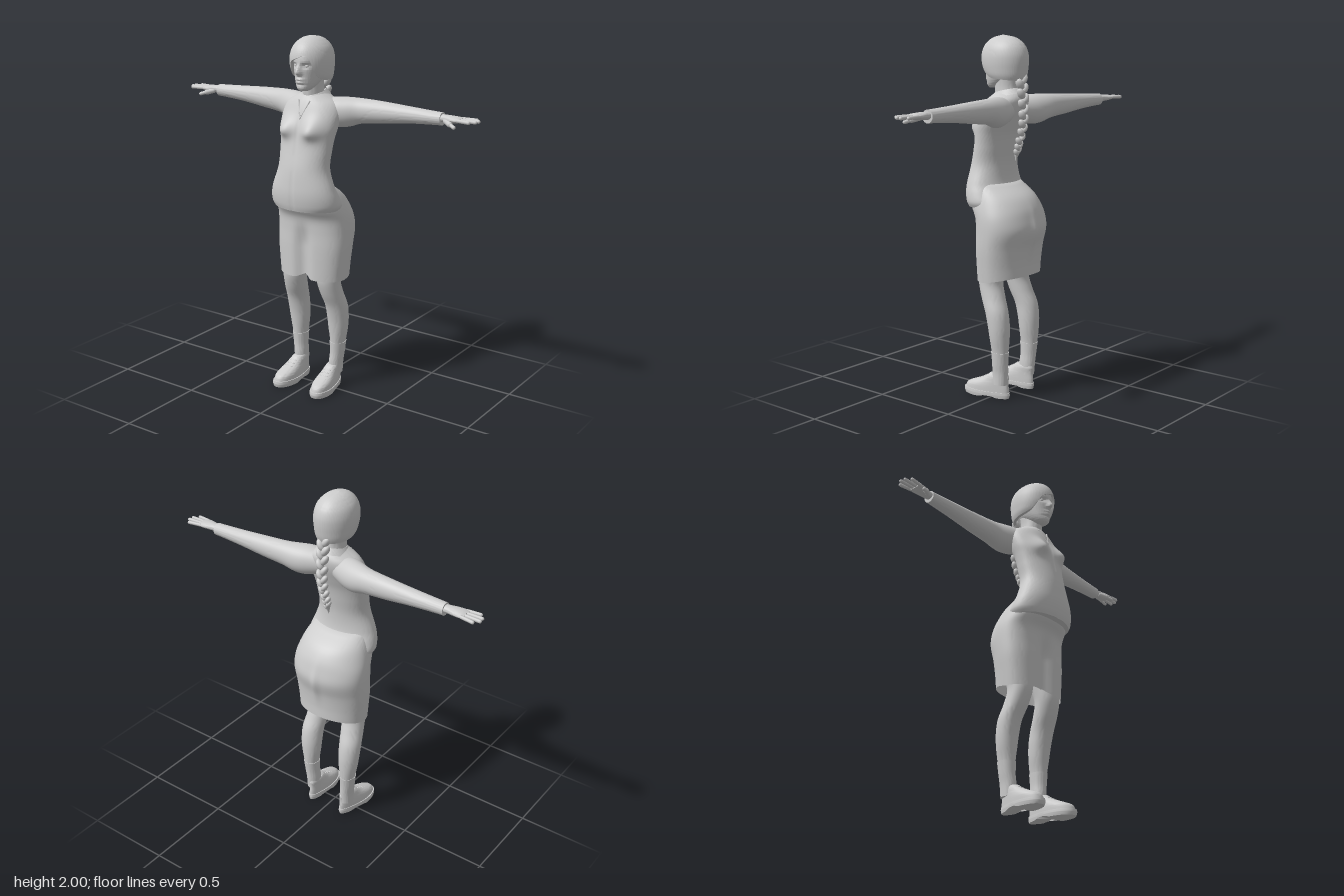
import * as THREE from 'three';
import { toCreasedNormals } from 'three/addons/utils/BufferGeometryUtils.js';

const V = (x, y, z) => new THREE.Vector3(x, y, z);
const bump = (d, w) => Math.exp(-(d * d) / (w * w));
const step = THREE.MathUtils.smoothstep;

// Smooth lookup in rows whose first column ascends
function sample(rows, t) {
  let i = 0;
  while (i < rows.length - 2 && t > rows[i + 1][0]) i++;
  const at = (k) => rows[Math.min(Math.max(k, 0), rows.length - 1)];
  const a = at(i), b = at(i + 1), h = b[0] - a[0];
  const s = THREE.MathUtils.clamp((t - a[0]) / h, 0, 1), s2 = s * s, s3 = s2 * s;
  const slope = (k, c) => (at(k + 1)[c] - at(k - 1)[c]) / (at(k + 1)[0] - at(k - 1)[0]);
  return a.map((_, c) => c === 0 ? t :
    (2 * s3 - 3 * s2 + 1) * a[c] + (s3 - 2 * s2 + s) * h * slope(i, c) +
    (3 * s2 - 2 * s3) * b[c] + (s3 - s2) * h * slope(i + 1, c));
}

// Skin of closed rings; point(v, angle) with v from 0 to 1, turned to face outward
function skin(rings, seg, point, caps = [true, true]) {
  const pos = [], idx = [];
  for (let i = 0; i <= rings; i++)
    for (let j = 0; j < seg; j++) pos.push(...point(i / rings, (j / seg) * Math.PI * 2).toArray());
  for (let i = 0; i < rings; i++)
    for (let j = 0; j < seg; j++) {
      const a = i * seg + j, b = i * seg + (j + 1) % seg;
      idx.push(a, a + seg, b, b, a + seg, b + seg);
    }
  [0, rings].forEach((r, e) => {
    if (!caps[e]) return;
    const mid = V(0, 0, 0), n = pos.length / 3;
    for (let j = 0; j < seg; j++) mid.add(V(0, 0, 0).fromArray(pos, (r * seg + j) * 3));
    pos.push(...mid.divideScalar(seg).toArray());
    for (let j = 0; j < seg; j++) {
      const a = r * seg + j, b = r * seg + (j + 1) % seg;
      e ? idx.push(a, n, b) : idx.push(a, b, n);
    }
  });
  let vol = 0;
  const p = (k) => V(0, 0, 0).fromArray(pos, idx[k] * 3);
  for (let k = 0; k < idx.length; k += 3) vol += p(k).dot(p(k + 1).cross(p(k + 2)));
  if (vol < 0) idx.reverse();
  const g = new THREE.BufferGeometry();
  g.setAttribute('position', new THREE.Float32BufferAttribute(pos, 3));
  g.setIndex(idx);
  return toCreasedNormals(g, 0.95);
}

// Loft of rows [t, centre u, half width, front v, back v]
function loft(rows, map = V, { sub = 5, seg = 40, power = 2, caps } = {}) {
  const t0 = rows[0][0], t1 = rows[rows.length - 1][0];
  const sp = (c, k) => Math.sign(c) * Math.abs(c) ** (2 / k);
  return skin((rows.length - 1) * sub, seg, (v, a) => {
    const [t, cu, hw, f, b] = sample(rows, t0 + (t1 - t0) * v);
    const k = Math.sin(a) > 0 ? power : 2;
    return map(cu + hw * sp(Math.cos(a), k), t, (f + b) / 2 + (f - b) / 2 * sp(Math.sin(a), k));
  }, caps);
}

export function createModel() {
  const model = new THREE.Group();
  const grey = new THREE.MeshStandardMaterial({ color: 0xcccccc, side: THREE.DoubleSide });
  grey.name = 'light grey';
  const add = (name, geo) => {
    const m = new THREE.Mesh(geo, grey);
    m.name = name;
    model.add(m);
    return m;
  };
  const rod = (name, a, b, r) => {
    const m = add(name, new THREE.CapsuleGeometry(r, a.distanceTo(b), 4, 10));
    m.position.copy(a).lerp(b, 0.5);
    m.quaternion.setFromUnitVectors(V(0, 1, 0), b.clone().sub(a).normalize());
  };

  // Shirt body with bust and a shallow button line
  add('shirt', loft([
    [1.075, 0, 0.198, 0.195, -0.08], [1.1, 0, 0.211, 0.202, -0.08], [1.15, 0, 0.204, 0.208, -0.05],
    [1.2, 0, 0.187, 0.207, -0.025], [1.3, 0, 0.153, 0.195, -0.02], [1.4, 0, 0.155, 0.172, -0.035],
    [1.47, 0, 0.163, 0.156, -0.05], [1.53, 0, 0.173, 0.142, -0.072], [1.6, 0, 0.172, 0.116, -0.098],
    [1.65, 0, 0.145, 0.094, -0.105], [1.68, 0, 0.09, 0.075, -0.095], [1.7, 0, 0.055, 0.05, -0.075],
  ], (x, y, z) => {
    if (z > 0.05) {
      z += 0.042 * bump(Math.abs(x) - 0.085, 0.05) * bump(y - 1.505, y < 1.505 ? 0.04 : 0.06);
      z -= 0.004 * bump(x, 0.008) * step(1.62 - y, 0, 0.05);
    }
    return V(x, y, z);
  }, { seg: 96 }));

  // Skirt with a valley between the thighs and a seam at the back
  add('skirt', loft([
    [0.665, 0, 0.205, 0.112, -0.163], [0.75, 0, 0.213, 0.113, -0.165], [0.85, 0, 0.222, 0.114, -0.175],
    [0.95, 0, 0.225, 0.114, -0.2], [1.02, 0, 0.221, 0.122, -0.19], [1.08, 0, 0.208, 0.158, -0.17],
    [1.14, 0, 0.188, 0.17, -0.125], [1.2, 0, 0.16, 0.15, -0.03],
  ], (x, y, z) => {
    const hem = 1 - step(y, 0.665, 0.85);
    if (z > 0) z -= 0.035 * bump(x, 0.04) * (1 - step(y, 0.85, 1.02));
    else z -= 0.012 * bump(x, 0.022) * bump(y - 0.93, 0.1);
    return V(x, y + hem * (z > 0 ? 0.022 * bump(x, 0.03) : 0.2 * -z), z);
  }, { seg: 96, power: 2.6, caps: [false, true] }));

  // Neck
  add('neck', loft([[1.6, 0, 0.06, 0.06, -0.07], [1.68, 0, 0.055, 0.068, -0.068],
    [1.73, 0, 0.052, 0.072, -0.062], [1.8, 0, 0.055, 0.07, -0.07]]));

  // Face with nose, lips, brows and eye sockets
  add('face', loft([
    [1.715, 0, 0.024, 0.116, 0.05], [1.727, 0, 0.04, 0.126, 0.02], [1.75, 0, 0.056, 0.129, -0.02],
    [1.78, 0, 0.068, 0.131, -0.06], [1.82, 0, 0.077, 0.134, -0.08], [1.86, 0, 0.082, 0.137, -0.09],
    [1.9, 0, 0.083, 0.136, -0.09], [1.94, 0, 0.07, 0.11, -0.07], [1.97, 0, 0.04, 0.07, -0.03],
  ], (x, y, z) => {
    if (z > 0.06) {
      z += 0.027 * bump(x, 0.013) * bump(y - 1.815, y > 1.815 ? 0.034 : 0.012);
      z += 0.007 * bump(Math.abs(x) - 0.012, 0.008) * bump(y - 1.811, 0.01);
      z += 0.009 * bump(x, 0.024) * (bump(y - 1.778, 0.006) + bump(y - 1.763, 0.006));
      z -= 0.005 * bump(x, 0.03) * bump(y - 1.749, 0.007);
      z -= 0.013 * bump(Math.abs(x) - 0.034, 0.019) * bump(y - 1.85, 0.012);
      z += 0.004 * bump(Math.abs(x) - 0.035, 0.024) * bump(y - 1.873, 0.009);
    }
    return V(x, y, z);
  }, { seg: 120, sub: 9 }));

  // Swept hair: rows [y, half width, front, back], edge height by angle from the front
  const hairForm = [[1.74, 0.075, 0.06, -0.1], [1.78, 0.1, 0.115, -0.116], [1.82, 0.108, 0.14, -0.123],
    [1.86, 0.111, 0.15, -0.127], [1.9, 0.108, 0.15, -0.125], [1.94, 0.095, 0.136, -0.11],
    [1.97, 0.071, 0.11, -0.082], [1.99, 0.042, 0.073, -0.042], [2, 0.006, 0.03, 0.018]];
  const hairEdge = [[-3.142, 1.755], [-1.6, 1.768], [-1, 1.785], [-0.78, 1.815], [-0.5, 1.865], [0, 1.893],
    [0.4, 1.907], [0.62, 1.88], [0.82, 1.81], [1.1, 1.777], [1.6, 1.768], [3.142, 1.755]];
  add('hair', skin(32, 120, (v, a) => {
    const d = a - Math.PI, edge = sample(hairEdge, d)[1];
    const s = Math.max(0, (v * 32 - 1) / 31), y = edge + (2 - edge) * Math.sin(s * Math.PI / 2);
    const [, w, f, b] = sample(hairForm, y), k = v === 0 ? 0.82 : 1;
    return V(w * k * Math.sin(d), y, (f + b) / 2 + (f - b) / 2 * k * Math.cos(d));
  }, [false, true]));

  // Plaited braid of paired tapering lobes
  const braid = new THREE.CatmullRomCurve3([V(0, 1.765, -0.1), V(0, 1.68, -0.112), V(0, 1.58, -0.118),
    V(0, 1.5, -0.112), V(0, 1.42, -0.088), V(0, 1.37, -0.074)]);
  for (let i = 0; i < 18; i++) {
    const t = i / 17, side = i % 2 ? 1 : -1, k = 1 - 0.4 * t;
    const lobe = add('braidLobe', new THREE.SphereGeometry(1, 16, 12));
    lobe.scale.set(0.02 * k, 0.035 * k, 0.025 * k);
    lobe.position.copy(braid.getPoint(t)).add(V(side * 0.016 * k, 0, 0));
    lobe.rotation.set(0.2 * t, 0, -side * 0.55);
  }
  const tassel = add('braidTip', new THREE.ConeGeometry(0.017, 0.06, 12));
  tassel.position.set(0, 1.345, -0.066);
  tassel.rotation.x = Math.PI - 0.2;

  // Folded shirt collar, dropping toward the front
  add('collar', skin(6, 64, (v, a) => {
    const front = (1 + Math.sin(a)) / 2, gap = bump(Math.cos(a), 0.22) * step(front, 0.5, 1);
    const r = 0.06 + 0.026 * v;
    const y = 1.72 - 0.032 * front - v * (0.028 + 0.012 * front) * (1 - gap * 0.3) - gap * 0.012;
    return V(r * Math.cos(a), y, -0.003 + (r + 0.014) * Math.sin(a) - gap * 0.012);
  }, [false, false]));

  for (const side of [1, -1]) {
    const s = side > 0 ? 'left' : 'right';
    const along = (u, t, v) => V(side * t, u, v);

    // Eye and neckline edge
    add(s + 'Eye', new THREE.SphereGeometry(0.012, 16, 12)).position.set(side * 0.034, 1.85, 0.107);
    rod(s + 'Neckline', V(side * 0.036, 1.66, 0.088), V(0, 1.57, 0.127), 0.004);

    // Sleeve running out from the shoulder
    add(s + 'Sleeve', loft([
      [0.03, 1.6, 0.06, 0.03, -0.085], [0.13, 1.595, 0.081, 0.035, -0.125], [0.19, 1.597, 0.08, 0.012, -0.138],
      [0.26, 1.607, 0.068, -0.02, -0.142], [0.4, 1.612, 0.057, -0.04, -0.142], [0.55, 1.616, 0.044, -0.052, -0.138],
      [0.7, 1.617, 0.035, -0.06, -0.132], [0.735, 1.617, 0.034, -0.062, -0.131],
    ], along));

    // Hand with four fingers and a thumb
    add(s + 'Palm', loft([
      [0.71, 1.62, 0.02, -0.07, -0.122], [0.75, 1.622, 0.02, -0.068, -0.123], [0.79, 1.622, 0.019, -0.055, -0.13],
      [0.83, 1.623, 0.015, -0.05, -0.136], [0.85, 1.623, 0.01, -0.054, -0.134],
    ], along, { seg: 24 }));
    [[-0.06, -0.052, 0.905], [-0.083, -0.081, 0.929], [-0.105, -0.109, 0.932], [-0.127, -0.138, 0.908]]
      .forEach(([z0, z1, x]) => rod(s + 'Finger', V(side * 0.835, 1.624, z0), V(side * x, 1.623, z1), 0.0095));
    rod(s + 'ThumbBase', V(side * 0.765, 1.613, -0.075), V(side * 0.8, 1.603, -0.052), 0.015);
    rod(s + 'Thumb', V(side * 0.8, 1.603, -0.052), V(side * 0.832, 1.593, -0.036), 0.01);

    // Leg and ankle sock
    const leg = [
      [0.08, 0.12, 0.034, -0.008, -0.092], [0.15, 0.122, 0.035, -0.007, -0.097], [0.2, 0.127, 0.037, -0.01, -0.1],
      [0.27, 0.13, 0.042, -0.007, -0.107], [0.35, 0.132, 0.055, 0.001, -0.112], [0.42, 0.133, 0.061, 0.011, -0.112],
      [0.5, 0.132, 0.063, 0.031, -0.1], [0.58, 0.122, 0.064, 0.066, -0.07], [0.66, 0.114, 0.067, 0.088, -0.05],
      [0.75, 0.11, 0.076, 0.085, -0.08], [0.9, 0.1, 0.09, 0.07, -0.11]];
    const flip = (u, t, v) => V(side * u, t, v);
    add(s + 'Leg', loft(leg, flip));
    add(s + 'Sock', loft(leg.slice(0, 4).map(([y, c, w, f, b]) => [y, c, w + 0.003, f + 0.003, b - 0.003]), flip));

    // Shoe: narrow at the heel, toes turned slightly out
    const last = (u, t, v) => {
      const k = 0.72 + 0.28 * step(v, -0.08, 0.1);
      return V(side * (0.117 + u * k + 0.07 * v), t, v);
    };
    add(s + 'Shoe', loft([
      [0.025, 0, 0.056, 0.183, -0.1], [0.06, 0, 0.055, 0.168, -0.1], [0.08, 0, 0.052, 0.125, -0.098],
      [0.1, 0, 0.048, 0.075, -0.098], [0.125, 0, 0.044, 0.03, -0.1], [0.135, 0, 0.038, 0.018, -0.094],
    ], last, { power: 2.4 }));
    add(s + 'Sole', loft([[0, 0, 0.059, 0.184, -0.101], [0.018, 0, 0.062, 0.19, -0.106], [0.034, 0, 0.061, 0.188, -0.105]],
      (u, t, v) => last(u, t + (t < 0.01 ? 0.02 * bump(v - 0.01, 0.03) : 0), v), { power: 2.4 }));
    for (let i = 0; i < 4; i++) {
      const z = 0.1 - i * 0.02, y = 0.089 + i * 0.0105;
      rod(s + 'Lace', last(-0.022, y - 0.003, z - 0.004), last(0.022, y - 0.003, z - 0.004), 0.004);
    }
  }
  return model;
}
